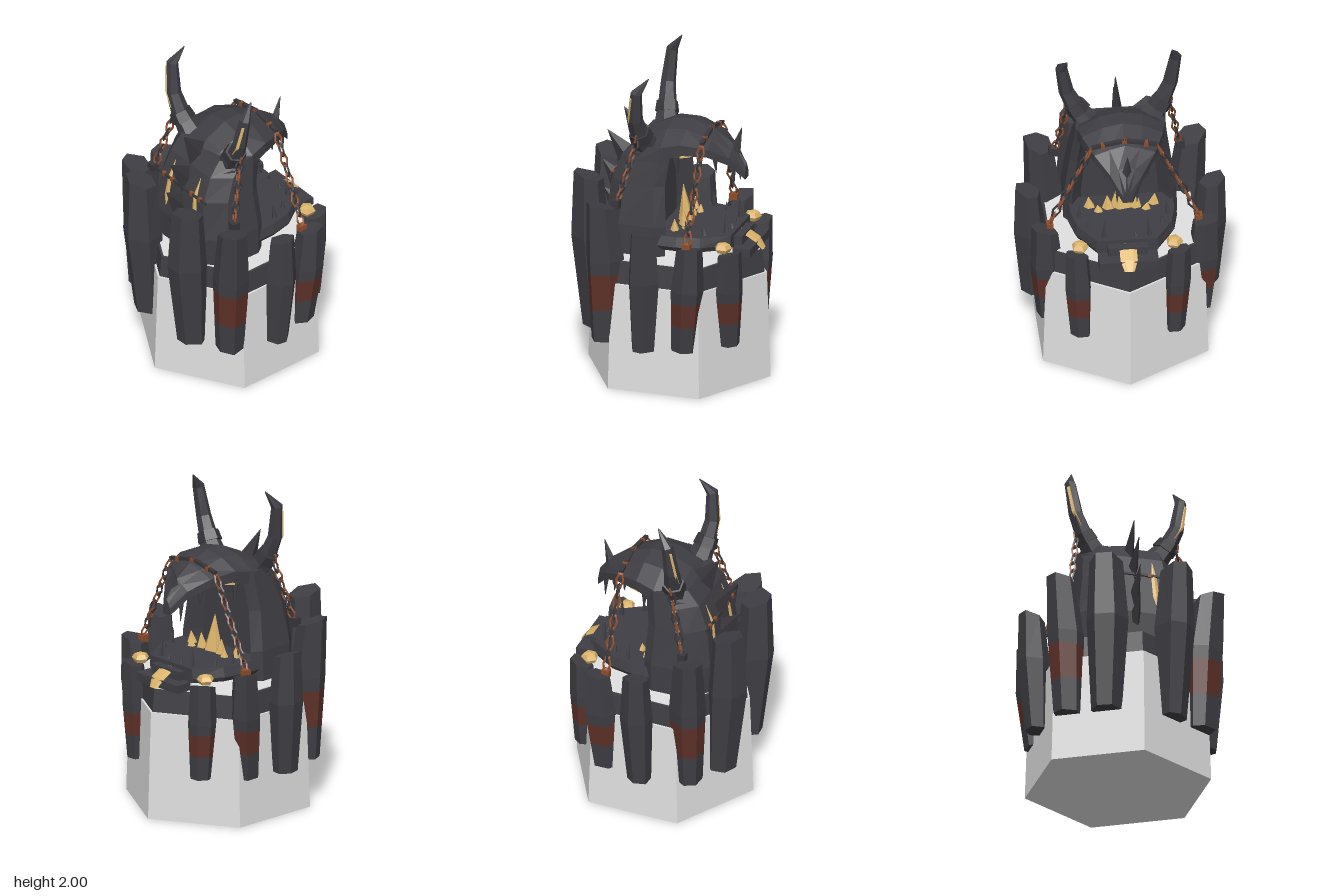
import * as THREE from 'three';

const mat = (name, color) => Object.assign(new THREE.MeshStandardMaterial({ color }), { name });
const V = (x, y, z) => new THREE.Vector3(x, y, z);

export function createModel() {
  const model = new THREE.Group();
  model.name = 'demonHeadTower';
  const pale = mat('paleStone', 0xe0e0e0);
  const dark = mat('darkStone', 0x3f3e44);
  const iron = mat('darkIron', 0x38363b);
  const red = mat('redBand', 0x5e3129);
  const gold = mat('gold', 0xdcb56c);
  const rust = mat('rust', 0x8e4d2c);

  let seed = 7;
  const rand = () => (seed = (seed * 16807) % 2147483647) / 2147483647;

  const add = (name, geo, material, x = 0, y = 0, z = 0) => {
    const flat = geo.index ? geo.toNonIndexed() : geo;
    flat.computeVertexNormals();
    const mesh = new THREE.Mesh(flat, material);
    mesh.name = name;
    mesh.position.set(x, y, z);
    model.add(mesh);
    return mesh;
  };
  const box = (name, material, w, h, d, x, y, z) => add(name, new THREE.BoxGeometry(w, h, d), material, x, y, z);

  // Closed faceted skin through rings of equal point count, always wound outward
  function loft(rings) {
    const tris = [];
    const n = rings[0].length;
    for (let i = 0; i + 1 < rings.length; i++) {
      for (let j = 0; j < n; j++) {
        const k = (j + 1) % n, a = rings[i], b = rings[i + 1];
        tris.push([a[j], a[k], b[k]], [a[j], b[k], b[j]]);
      }
    }
    [rings[0], rings[rings.length - 1]].forEach((ring, end) => {
      const c = ring.reduce((s, p) => s.add(p), V(0, 0, 0)).divideScalar(n);
      for (let j = 0; j < n; j++) {
        const k = (j + 1) % n;
        tris.push(end ? [c, ring[j], ring[k]] : [c, ring[k], ring[j]]);
      }
    });
    const volume = tris.reduce((s, [a, b, c]) => s + a.dot(b.clone().cross(c)), 0);
    if (volume < 0) tris.forEach((t) => t.reverse());
    return new THREE.BufferGeometry().setFromPoints(tris.flat());
  }

  // Tapered limb along points given as [x, y, z, radiusU, radiusV]
  function limb(pts, sides = 6) {
    const c = pts.map((p) => V(p[0], p[1], p[2]));
    return loft(pts.map((p, i) => {
      const d = c[Math.min(i + 1, c.length - 1)].clone().sub(c[Math.max(i - 1, 0)]).normalize();
      const u = d.clone().cross(V(0, 0, 1)).normalize();
      const v = d.clone().cross(u);
      return Array.from({ length: sides }, (_, j) => {
        const a = (j / sides) * Math.PI * 2;
        return c[i].clone().addScaledVector(u, Math.cos(a) * p[3]).addScaledVector(v, Math.sin(a) * (p[4] ?? p[3]));
      });
    }));
  }
  const spike = (name, m, base, tip, ru, rv = ru, sides = 5) =>
    add(name, limb([[...base, ru, rv], [...tip, 0.002]], sides), m);

  // Hexagonal plinth, dark collar and pale floor
  const zc = -0.015;
  add('plinth', new THREE.CylinderGeometry(0.553, 0.577, 0.67, 6), pale, 0, 0.335, zc);
  add('collar', new THREE.CylinderGeometry(0.525, 0.54, 0.15, 6), dark, 0, 0.735, zc);
  add('floor', new THREE.CylinderGeometry(0.51, 0.51, 0.008, 6), pale, 0, 0.81, zc);

  // Leaning rock pillars: [bottom x, z, r], [middle], [top], height, band low, band high
  const pillars = [
    [[0.205, 0.445, 0.086], [0.21, 0.485, 0.118], [0.22, 0.49, 0.094], 1.25],
    [[0.42, 0.315, 0.088], [0.435, 0.315, 0.114], [0.465, 0.33, 0.09], 1.16, 0.5, 0.73],
    [[0.53, 0.045, 0.073], [0.55, 0.035, 0.1], [0.56, 0.035, 0.08], 1.04],
    [[0.45, -0.2, 0.08], [0.475, -0.23, 0.1], [0.485, -0.245, 0.08], 0.95, 0.46, 0.61],
    [[0.285, -0.42, 0.065], [0.3, -0.425, 0.085], [0.31, -0.43, 0.075], 0.88, 0.44, 0.58],
  ];
  for (const s of [1, -1]) {
    for (const [bot, mid, top, h, lo, hi] of pillars) {
      const turn = rand() * 6;
      const wobble = Array.from({ length: 6 }, () => [0.9 + rand() * 0.2, (rand() - 0.5) * 0.3]);
      const ring = (y) => {
        const t = (y - 0.29) / (h - 0.29), f = t < 0.6 ? t / 0.6 : (t - 0.6) / 0.4;
        const [x, z, r] = (t < 0.6 ? bot : mid).map((p, i) => THREE.MathUtils.lerp(p, (t < 0.6 ? mid : top)[i], f));
        return wobble.map(([k, da], j) => {
          const a = turn + da + (j / 6) * Math.PI * 2;
          const ox = Math.cos(a) * r * k, oz = Math.sin(a) * r * k;
          const slope = t > 0.99 ? 0.3 * (ox * x + oz * z) / Math.hypot(x, z) : 0;
          return V(s * (x + ox), y + slope, z + oz);
        });
      };
      const midY = 0.29 + 0.6 * (h - 0.29);
      if (lo) {
        add('pillarFoot', loft([ring(0.29), ring(lo)]), dark);
        const stops = [lo, midY, hi].filter((y) => y >= lo && y <= hi).sort();
        add('pillarBand', loft(stops.map(ring)), red);
        add('pillarTop', loft([hi, ...(midY > hi ? [midY] : []), h].map(ring)), dark);
      } else add('pillar', loft([0.29, midY, h].map(ring)), dark);
    }
    // Gold knob on each rear pillar
    add('goldKnob', new THREE.SphereGeometry(0.055, 5, 4), gold, s * 0.285, 0.905, -0.385).scale.y = 0.65;
  }

  // Hood with a hollow mouth, as [y, half width, back z, front z]
  add('hood', loft([[0.72, 0.335, 0.36, -0.02], [1.0, 0.33, 0.375, -0.025], [1.25, 0.295, 0.345, -0.01],
    [1.4, 0.275, 0.285, -0.03], [1.49, 0.265, 0.21, -0.04]].map(([y, w, b, f]) => {
    const half = [[0.68 * w, b], [w, b - 0.11], [1.03 * w, f + 0.06], [0.9 * w, f], [0.7 * w, 0.08]];
    return [...half.map(([x, z]) => V(x, y, z)), ...half.reverse().map(([x, z]) => V(-x, y, z))];
  })), dark);

  // Skull and hooked snout, as [z, bottom, top, half width]
  add('skullAndSnout', loft([[0.25, 1.38, 1.45, 0.2], [0.16, 1.37, 1.53, 0.265], [0.02, 1.41, 1.595, 0.265],
    [-0.1, 1.45, 1.6, 0.245], [-0.25, 1.435, 1.545, 0.185], [-0.36, 1.365, 1.47, 0.1], [-0.44, 1.26, 1.36, 0.03]]
    .map(([z, b, t, w]) => [[-w, b], [-w, b + (t - b) * 0.45], [-w * 0.5, t - 0.025], [0, t],
      [w * 0.5, t - 0.025], [w, b + (t - b) * 0.45], [w, b]].map(([x, y]) => V(x, y, z)))), dark);
  spike('noseHorn', dark, [0, 1.4, -0.36], [0, 1.58, -0.41], 0.035, 0.04, 4);

  // Spine crest
  [[1.42, 0.2, 1.625, 0.335], [1.27, 0.27, 1.465, 0.44], [1.09, 0.32, 1.27, 0.47], [0.96, 0.34, 1.09, 0.46]]
    .forEach(([y, z, ty, tz]) => spike('crestSpike', iron, [0, y, z], [0, ty, tz], 0.038, 0.1, 4));

  // Lower jaw, chin and drooping tongue
  const jaw = [[0.33, 0.05], [0.33, -0.1], [0.3, -0.24], [0.19, -0.4]];
  const jawRing = (k, y) => [...jaw, ...jaw.map(([x, z]) => [-x, z]).reverse()].map(([x, z]) => V(x * k, y, z));
  add('lowerJaw', loft([jawRing(0.94, 0.86), jawRing(1, 0.89), jawRing(0.95, 0.95)]), dark);
  box('chin', dark, 0.36, 0.05, 0.11, 0, 0.845, -0.465);
  box('chinRidge', dark, 0.24, 0.07, 0.1, 0, 0.89, -0.4);
  add('tongue', limb([[0, 0.92, -0.4, 0.048, 0.006], [0, 0.91, -0.45, 0.052, 0.006], [0, 0.875, -0.51, 0.052, 0.006],
    [0, 0.82, -0.55, 0.03, 0.006]]), gold);
  spike('flame', gold, [0, 0.92, -0.06], [0, 1.17, -0.04], 0.08, 0.05);

  // Chain of alternating links between two points
  function chain(from, to, count) {
    const dir = to.clone().sub(from), len = dir.length();
    const q = new THREE.Quaternion().setFromUnitVectors(V(0, 1, 0), dir.clone().normalize());
    for (let i = 0; i < count; i++) {
      const link = add('chainLink', new THREE.TorusGeometry(0.022, 0.007, 4, 6), i % 2 ? iron : rust);
      link.position.copy(from).addScaledVector(dir, (i + 0.5) / count);
      link.quaternion.copy(q).multiply(new THREE.Quaternion().setFromAxisAngle(V(0, 1, 0), (1 - i % 2) * Math.PI / 2));
      link.scale.y = (len / count) * 0.66 / 0.022;
    }
  }

  for (const s of [1, -1]) {
    // Horn, its root collar and gold inlay; one horn is slightly shorter
    const k = s > 0 ? 0.91 : 1;
    const horn = [[0.17, 1.44, 0.12, 0.085], [0.265, 1.58, 0.15, 0.056], [0.315, 1.7, 0.16, 0.046],
      [0.345, 1.9, 0.145, 0.036], [0.317, 2.0, 0.075, 0.003]].map(([x, y, z, r]) => [s * x, 1.45 + (y - 1.45) * k, z, r]);
    add('horn', limb(horn), dark);
    add('hornCollar', limb([[s * 0.235, 1.53, 0.142, 0.075], [s * 0.27, 1.585, 0.152, 0.066]]), iron);
    add('hornInlay', limb(horn.slice(1, 4).map(([x, y, z, r], i) =>
      [x + s * r * 0.45, y + 0.03 * (1 - i), z + r * 0.76, i ? 0.014 : 0.005, 0.009]), 4), gold);

    // Gold slits on the back of the hood, eyes under the brow
    add('goldSlit', limb([[s * 0.12, 1.37, 0.302, 0.002], [s * 0.12, 1.25, 0.348, 0.017, 0.006],
      [s * 0.13, 1.12, 0.363, 0.02, 0.006], [s * 0.13, 1.06, 0.37, 0.002]], 4), gold);
    add('eye', limb([[s * 0.225, 1.43, -0.09, 0.006], [s * 0.21, 1.445, -0.14, 0.018], [s * 0.19, 1.448, -0.19, 0.003]], 4), gold);

    // Teeth above and below, small flames in the mouth
    [[0.2, 1.42, -0.06, 1.3, 0.022], [0.17, 1.46, -0.2, 1.37, 0.02], [0.13, 1.43, -0.28, 1.32, 0.02], [0.06, 1.38, -0.37, 1.22, 0.022]]
      .forEach(([x, y, z, ty, r]) => spike('upperTooth', dark, [s * x, y, z], [s * x, ty, z - 0.01], r));
    [[0.27, -0.15, 1.04], [0.23, -0.25, 1.0], [0.14, -0.36, 1.07], [0.06, -0.37, 0.98]]
      .forEach(([x, z, ty]) => spike('lowerTooth', dark, [s * x, 0.92, z], [s * (x - 0.01), ty, z + 0.01], 0.022));
    [[0.08, -0.07, 1.04], [0.14, -0.1, 0.995], [0.19, -0.05, 1.02]]
      .forEach(([x, z, ty]) => spike('flame', gold, [s * x, 0.9, z], [s * (x + 0.01), ty, z], 0.06, 0.045));

    // Chains and their anchors
    chain(V(s * 0.205, 1.5, -0.22), V(s * 0.45, 0.97, -0.21), 9);
    chain(V(s * 0.3, 1.6, 0.14), V(s * 0.375, 1.17, 0.25), 7);
    box('rearAnchor', rust, 0.04, 0.05, 0.05, s * 0.45, 0.945, -0.21);
    box('sideAnchor', iron, 0.05, 0.05, 0.05, s * 0.385, 1.15, 0.26);
    for (const x of [0.09, 0.17]) box('strapStud', rust, 0.022, 0.026, 0.02, s * x, 1.26, 0.35);
    box('snoutStud', rust, 0.025, 0.03, 0.03, s * 0.13, 1.532, -0.22);
    const strap = box('snoutStrap', iron, 0.2, 0.02, 0.025, s * 0.1, 1.542, -0.22);
    strap.rotation.z = -s * 0.2;
  }
  box('snoutStud', rust, 0.03, 0.03, 0.03, 0, 1.555, -0.22);
  box('backStrap', iron, 0.46, 0.014, 0.014, 0, 1.26, 0.35);

  return model;
}
